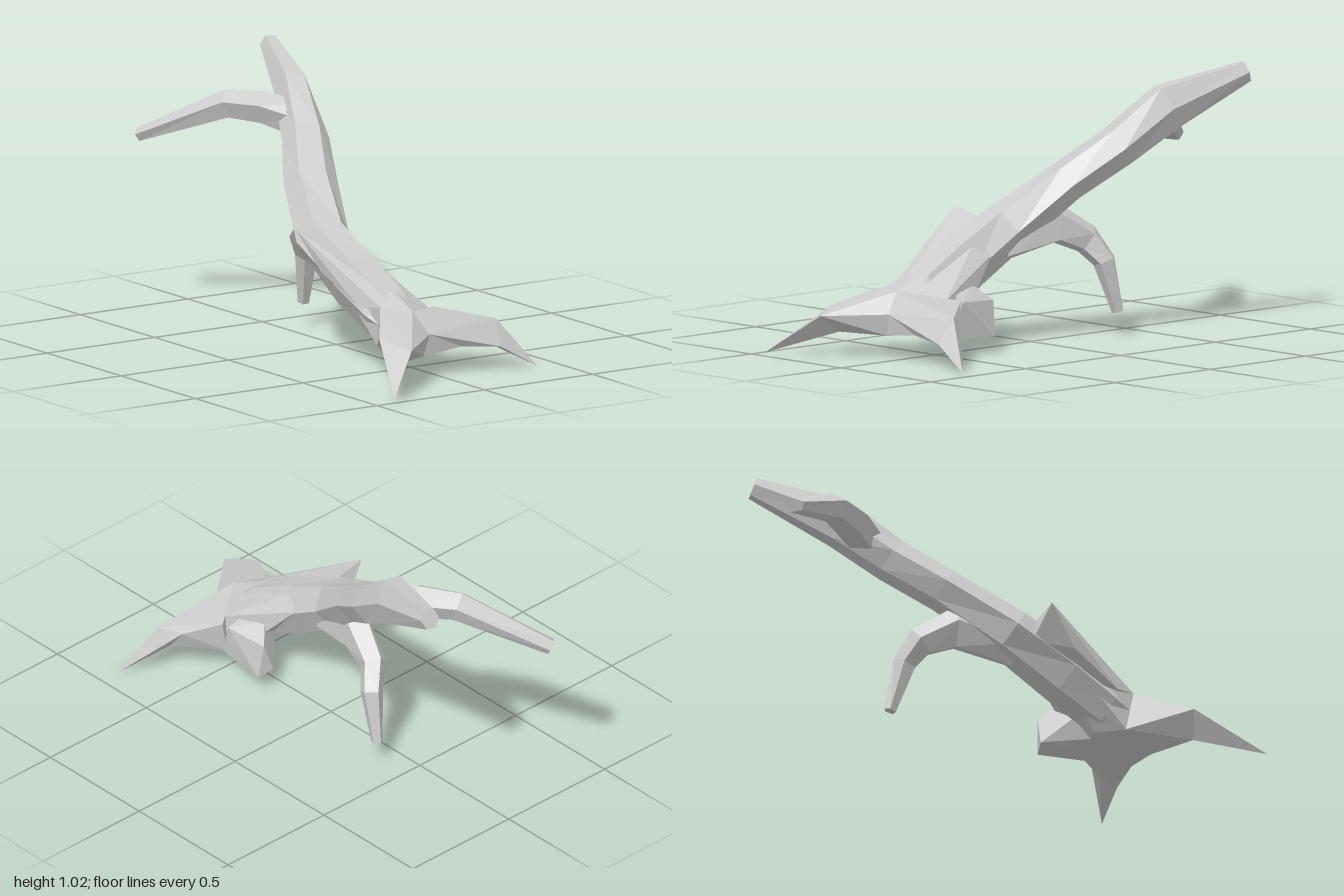
import * as THREE from 'three';
import { ConvexGeometry } from 'three/addons/geometries/ConvexGeometry.js';

const bark = new THREE.MeshStandardMaterial({ color: 0xcccccc, flatShading: true });

// Low-poly limb lofted through nodes [x, y, z, half width, half height]
function limb(name, nodes, sides, ref = [0, 1, 0], turn = Math.PI / 2) {
  const centres = nodes.map(n => new THREE.Vector3(n[0], n[1], n[2]));
  const last = nodes.length - 1;
  const pos = [], index = [];
  centres.forEach((c, i) => {
    const dir = centres[Math.min(i + 1, last)].clone().sub(centres[Math.max(i - 1, 0)]).normalize();
    const side = dir.clone().cross(new THREE.Vector3(...ref)).normalize();
    const up = side.clone().cross(dir);
    for (let j = 0; j < sides; j++) {
      const a = turn + j / sides * Math.PI * 2;
      const p = c.clone().addScaledVector(side, Math.cos(a) * nodes[i][3])
        .addScaledVector(up, Math.sin(a) * nodes[i][4]);
      pos.push(p.x, p.y, p.z);
    }
  });
  const start = pos.length / 3, end = start + 1;
  pos.push(...centres[0].toArray(), ...centres[last].toArray());
  for (let j = 0; j < sides; j++) {
    const k = (j + 1) % sides;
    for (let i = 0; i < last; i++) {
      const a = i * sides, b = a + sides;
      index.push(a + j, b + j, b + k, a + j, b + k, a + k);
    }
    index.push(start, j, k, end, last * sides + k, last * sides + j);
  }
  const geo = new THREE.BufferGeometry();
  geo.setAttribute('position', new THREE.Float32BufferAttribute(pos, 3));
  geo.setIndex(index);
  return finish(name, geo.toNonIndexed());
}

// Faceted lump spanning a few corner points
function lump(name, points) {
  return finish(name, new ConvexGeometry(points.map(p => new THREE.Vector3(...p))));
}

function finish(name, geo) {
  geo.computeVertexNormals();
  const mesh = new THREE.Mesh(geo, bark);
  mesh.name = name;
  return mesh;
}

export function createModel() {
  const group = new THREE.Group();
  group.name = 'fallenTree';

  // Leaning trunk from the root base to the broken top
  group.add(limb('trunk', [
    [-0.08, 0.17, 0.58, 0.08, 0.06],
    [-0.09, 0.22, 0.46, 0.10, 0.11],
    [-0.10, 0.31, 0.28, 0.105, 0.115],
    [-0.095, 0.43, 0.05, 0.11, 0.10],
    [0.005, 0.60, -0.18, 0.105, 0.08],
    [0.105, 0.73, -0.36, 0.092, 0.085],
    [0.175, 0.87, -0.55, 0.072, 0.10],
    [0.285, 0.988, -0.865, 0.037, 0.045],
  ], 6, [0, 1, 0], 0));

  // Upper side branch, bending down to the back
  group.add(limb('upperBranch', [
    [0.14, 0.78, -0.42, 0.06, 0.07],
    [0.06, 0.82, -0.56, 0.075, 0.065],
    [-0.025, 0.822, -0.69, 0.062, 0.058],
    [-0.24, 0.677, -0.98, 0.042, 0.027],
  ], 5));

  // Lower branch hanging beneath the trunk
  group.add(limb('lowerBranch', [
    [-0.08, 0.38, 0.09, 0.07, 0.08],
    [-0.01, 0.445, -0.14, 0.055, 0.09],
    [0.03, 0.37, -0.27, 0.05, 0.062],
    [0.08, 0.29, -0.315, 0.045, 0.047],
    [0.10, 0.09, -0.367, 0.022, 0.025],
  ], 5, [0, 1, -1]));

  // Flared base of the trunk, blending into the roots
  group.add(lump('base', [
    [-0.175, 0.265, 0.55], [-0.08, 0.25, 0.63], [-0.05, 0.17, 0.70], [0.10, 0.105, 0.70],
    [-0.07, 0.085, 0.69], [0.08, 0.22, 0.52], [-0.17, 0.11, 0.52], [0.08, 0.08, 0.46],
    [-0.15, 0.445, 0.20], [-0.06, 0.43, 0.22], [0.0, 0.36, 0.20], [-0.19, 0.40, 0.20],
    [-0.10, 0.10, 0.42],
  ]));

  // Spreading roots: a thick shoulder and a pointed end meeting at a knee
  const rightKnee = [[-0.25, 0.16, 0.87], [-0.31, 0.19, 0.74], [-0.25, 0.09, 0.77]];
  group.add(lump('rightRootShoulder', [
    ...rightKnee, [-0.05, 0.17, 0.70], [-0.07, 0.085, 0.69], [-0.175, 0.265, 0.55],
    [-0.08, 0.25, 0.63], [-0.17, 0.11, 0.52],
  ]));
  group.add(lump('rightRootPoint', [...rightKnee, [-0.42, 0.015, 1.0]]));

  const leftKnee = [[0.28, 0.188, 0.67], [0.26, 0.09, 0.73], [0.23, 0.17, 0.59], [0.24, 0.10, 0.64]];
  group.add(lump('leftRootShoulder', [
    ...leftKnee, [0.10, 0.105, 0.70], [0.12, 0.22, 0.48], [-0.05, 0.17, 0.70],
    [-0.08, 0.25, 0.63], [0.10, 0.09, 0.48],
  ]));
  group.add(lump('leftRootPoint', [...leftKnee, [0.415, 0.0, 0.75]]));

  // Short root turned to the back
  group.add(lump('backRoot', [
    [0.11, 0.062, 0.29], [0.05, 0.085, 0.27], [0.03, 0.26, 0.34], [0.09, 0.20, 0.28],
    [0.11, 0.21, 0.46], [-0.06, 0.30, 0.42], [-0.10, 0.10, 0.50], [0.10, 0.08, 0.50],
    [-0.04, 0.17, 0.36],
  ]));

  // Broken stub running along the right flank
  group.add(lump('brokenStub', [
    [-0.28, 0.51, 0.13], [-0.19, 0.485, 0.13], [-0.245, 0.36, 0.25], [-0.21, 0.25, 0.46],
    [-0.175, 0.265, 0.55], [-0.13, 0.475, 0.13], [-0.10, 0.28, 0.55], [-0.12, 0.30, 0.30],
    [-0.18, 0.38, 0.10],
  ]));

  return group;
}
